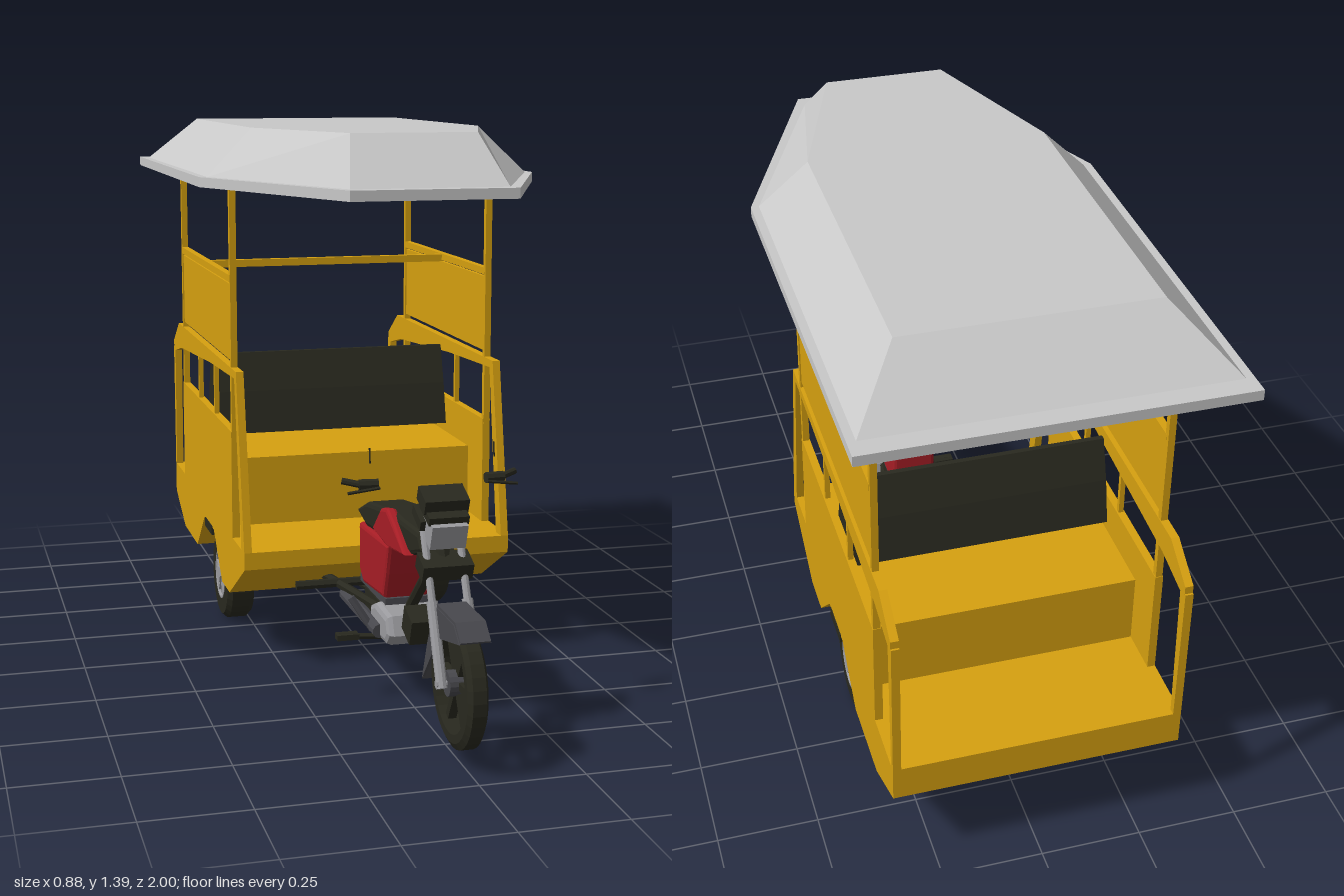
import * as THREE from 'three';

const mat = (name, color, side = THREE.FrontSide, flatShading = true) => {
  const m = new THREE.MeshStandardMaterial({ color, side, flatShading });
  m.name = name;
  return m;
};

export function createModel() {
  const root = new THREE.Group();
  root.name = 'motorTricycle';
  const yellow = mat('yellow paint', 0xd6a010);
  const grey = mat('roof grey', 0xc8c8c8);
  const black = mat('black', 0x29291f, THREE.FrontSide);
  const red = mat('red paint', 0xa61d25);
  const silver = mat('silver', 0x9a9a9e);
  const slate = mat('slate grey', 0x48484d, THREE.DoubleSide);

  const add = (name, geo, m, parent = root) => {
    const mesh = new THREE.Mesh(geo, m);
    mesh.name = name;
    parent.add(mesh);
    return mesh;
  };
  const box = (name, m, w, h, d, x, y, z, rx = 0, parent = root) => {
    const b = add(name, new THREE.BoxGeometry(w, h, d), m, parent);
    b.position.set(x, y, z);
    b.rotation.x = rx;
    return b;
  };
  // Extrude a [z, y] outline across x
  const slab = (name, m, pts, x0, x1, bevel = 0) => {
    const shape = new THREE.Shape(pts.map(p => new THREE.Vector2(p[0], p[1])));
    const geo = new THREE.ExtrudeGeometry(shape, {
      depth: x1 - x0 - 2 * bevel, bevelEnabled: bevel > 0, bevelSize: bevel,
      bevelOffset: -bevel, bevelThickness: bevel, bevelSegments: 2,
    });
    geo.rotateY(-Math.PI / 2).translate(x1 - bevel, 0, 0);
    return add(name, geo, m);
  };
  // Round or square bar between two points
  const bar = (name, m, a, b, r, sides = 8) => {
    const p = new THREE.Vector3(...a), q = new THREE.Vector3(...b);
    const geo = new THREE.CylinderGeometry(r, r, p.distanceTo(q), sides);
    if (sides === 4) geo.rotateY(Math.PI / 4);
    const mesh = add(name, geo, m);
    mesh.position.copy(p).add(q).multiplyScalar(0.5);
    mesh.quaternion.setFromUnitVectors(new THREE.Vector3(0, 1, 0), q.sub(p).normalize());
    return mesh;
  };
  // Skin stacked six-sided rings and cap the last one
  const loft = (rings, flip) => {
    const v = [];
    const tri = (a, b, c) => (flip ? [a, c, b] : [a, b, c]).forEach(p => v.push(...p));
    for (let k = 0; k + 1 < rings.length; k++)
      for (let i = 0; i < 6; i++) {
        const j = (i + 1) % 6, A = rings[k], B = rings[k + 1];
        tri(A[i], A[j], B[j]);
        tri(A[i], B[j], B[i]);
      }
    const top = rings[rings.length - 1];
    for (let i = 1; i < 5; i++) tri(top[0], top[i], top[i + 1]);
    const g = new THREE.BufferGeometry();
    g.setAttribute('position', new THREE.Float32BufferAttribute(v, 3));
    g.computeVertexNormals();
    return g;
  };
  const ring = (w, back, mid, nose, front, y) => [
    [-w, y, back], [-w, y, mid], [-nose, y, front], [nose, y, front], [w, y, mid], [w, y, back]];

  // Roof shell and its painted lining
  add('roofShell', loft([
    ring(0.44, -1, 0.07, 0.2, 0.65, 1.255), ring(0.44, -1, 0.07, 0.2, 0.65, 1.28),
    ring(0.42, -0.95, 0.07, 0.19, 0.61, 1.28), ring(0.3, -0.78, 0.04, 0.155, 0.475, 1.4)]), grey);
  add('roofLining', loft([
    ring(0.44, -1, 0.07, 0.2, 0.65, 1.255), ring(0.41, -0.94, 0.065, 0.185, 0.6, 1.262),
    ring(0.29, -0.77, 0.04, 0.15, 0.465, 1.39)], true), yellow);

  // Lower hull with wheel cut-out
  slab('hull', yellow, [[0.165, 0.33], [0.165, 0.285], [-0.05, 0.165], [-0.16, 0.165], [-0.28, 0.28],
    [-0.43, 0.28], [-0.56, 0.165], [-0.78, 0.165], [-0.945, 0.24], [-0.945, 0.33]], -0.355, 0.355);
  box('seatBox', yellow, 0.67, 0.185, 0.54, 0, 0.4225, -0.39);
  // Back-to-back cushions
  slab('backrest', black, [[-0.325, 0.54], [-0.35, 0.655], [-0.383, 0.76], [-0.397, 0.76],
    [-0.43, 0.655], [-0.455, 0.54]], -0.335, 0.335);

  for (const s of [-1, 1]) {
    const x = 0.345 * s;
    const side = (name, m, pts, t = 0.02) => slab(name, m, pts, x - t / 2, x + t / 2);
    // Side walls and rail
    side('sidePanel', yellow, [[0.005, 0.325], [0.005, 0.615], [-0.775, 0.615], [-0.775, 0.325]]);
    side('upperSidePanel', yellow, [[0, 0.8], [0, 1], [-0.765, 1], [-0.765, 0.8]], 0.01);
    side('handRail', yellow, [[0.08, 0.785], [-0.84, 0.785], [-0.94, 0.72], [-0.94, 0.685],
      [-0.8, 0.715], [-0.3, 0.75], [0.07, 0.765]]);
    side('frontRailLeg', yellow, [[0.165, 0.33], [0.08, 0.785], [0.055, 0.765], [0.125, 0.33]]);
    side('rearRailLeg', yellow, [[-0.945, 0.33], [-0.945, 0.7], [-0.915, 0.7], [-0.928, 0.33]]);
    for (const z of [0, -0.765])
      bar('roofPost', yellow, [x, 0.6, z], [x, 1.27, z], 0.012, 4);
    for (const z of [-0.26, -0.51])
      bar('windowPost', yellow, [x, 0.61, z], [x, 0.76, z], 0.009, 4);
    bar('sideBar', yellow, [x, 1.015, 0], [x, 1.015, -0.765], 0.013, 4);
    // Roof frame
    bar('roofSideBeam', yellow, [x, 1.262, 0.05], [x, 1.262, -0.9], 0.014, 4);
    bar('roofNoseBeam', yellow, [x, 1.262, 0.05], [0.16 * s, 1.262, 0.57], 0.014, 4);
  }
  for (const [z, w] of [[-0.9, 0.345], [-0.765, 0.345], [0, 0.345], [0.57, 0.16]])
    bar('roofCrossBeam', yellow, [-w, 1.262, z], [w, 1.262, z], 0.014, 4);
  bar('middleCrossBar', yellow, [-0.34, 1.012, -0.39], [0.34, 1.012, -0.39], 0.014, 4);

  // Rear wheels
  const tyre = (r, inner, half) => new THREE.LatheGeometry([
    [inner, -half], [r * 0.9, -half], [r, -half * 0.65], [r, half * 0.65], [r * 0.9, half],
    [inner, half], [inner, -half]].map(p => new THREE.Vector2(p[0], p[1])), 32).rotateZ(-Math.PI / 2);
  const disc = (r, w, n = 24) => new THREE.CylinderGeometry(r, r, w, n).rotateZ(-Math.PI / 2);
  for (const s of [-1, 1]) {
    const wheel = new THREE.Group();
    wheel.name = 'rearWheel';
    wheel.position.set(0.287 * s, 0.13, -0.355);
    root.add(wheel);
    add('tyre', tyre(0.125, 0.068, 0.038), black, wheel);
    add('innerDisc', disc(0.072, 0.01), black, wheel).position.x = -0.03 * s;
    add('rim', disc(0.07, 0.05), slate, wheel).position.x = 0.005 * s;
    const lip = add('rimLip', new THREE.TorusGeometry(0.066, 0.006, 6, 28).rotateY(Math.PI / 2), silver, wheel);
    lip.position.x = 0.034 * s;
    for (let i = 0; i < 5; i++) {
      const spoke = box('rimSpoke', silver, 0.012, 0.05, 0.02, 0.032 * s, 0, 0, 0, wheel);
      spoke.geometry.translate(0, 0.038, 0);
      spoke.rotation.x = i * Math.PI * 0.4;
    }
    add('hubCap', disc(0.025, 0.02, 6), silver, wheel).position.x = 0.034 * s;
    box('mudFlap', black, 0.075, 0.025, 0.11, 0.287 * s, 0.272, -0.355).position.x = 0.32 * s;
  }
  bar('rearAxle', black, [-0.27, 0.13, -0.355], [0.27, 0.13, -0.355], 0.014);
  slab('differential', black, [[-0.27, 0.28], [-0.44, 0.28], [-0.4, 0.13], [-0.36, 0.1], [-0.31, 0.13]], -0.05, 0.05);

  // Front wheel
  const front = new THREE.Group();
  front.name = 'frontWheel';
  front.position.set(0, 0.19, 0.85);
  root.add(front);
  add('tyre', tyre(0.15, 0.115, 0.024), black, front);
  add('hub', disc(0.03, 0.06, 16), slate, front);
  for (let i = 0; i < 6; i++) {
    const spoke = box('spoke', black, 0.02, 0.1, 0.018, 0, 0, 0, 0, front);
    spoke.geometry.translate(0, 0.07, 0);
    spoke.rotation.x = (i + 0.5) * Math.PI / 3;
  }
  // Mudguard wraps the tyre as a thin curved shell with side skirts
  slab('mudguardCrown', slate, [[0.96, 0.315], [0.92, 0.345], [0.79, 0.345], [0.73, 0.25], [0.685, 0.145],
    [0.68, 0.15], [0.725, 0.26], [0.785, 0.357], [0.925, 0.355], [0.965, 0.32]], -0.035, 0.035);
  for (const s of [-1, 1]) {
    const x = 0.034 * s;
    slab('mudguardSkirt', slate, [[0.96, 0.315], [0.92, 0.348], [0.785, 0.35], [0.725, 0.25],
      [0.682, 0.145], [0.76, 0.23], [0.82, 0.285]], x - 0.003, x + 0.003);
    bar('forkLower', silver, [0.042 * s, 0.18, 0.855], [0.042 * s, 0.36, 0.775], 0.013, 10);
    bar('forkUpper', silver, [0.042 * s, 0.35, 0.78], [0.042 * s, 0.54, 0.69], 0.009, 10);
    // Handgrips and mirror stalks
    bar('handGrip', black, [0.13 * s, 0.605, 0.635], [0.175 * s, 0.605, 0.63], 0.013);
    bar('gripEnd', black, [0.17 * s, 0.605, 0.63], [0.21 * s, 0.612, 0.61], 0.008);
    bar('brakeLever', black, [0.13 * s, 0.6, 0.65], [0.205 * s, 0.59, 0.645], 0.004, 5);
    bar('mirrorStalk', black, [0.15 * s, 0.655, 0.635], [0.15 * s, 0.69, 0.63], 0.002, 5);
    // Foot pegs
    bar('footPeg', black, [0.04 * s, 0.165, 0.42], [0.165 * s, 0.17, 0.4], 0.008, 6);
    box('pegRubber', black, 0.055, 0.014, 0.03, 0.145 * s, 0.168, 0.4);
    bar('towArm', black, [0.05 * s, 0.22, 0.35], [0.12 * s, 0.22, 0], 0.012, 6);
    slab('tankSide', red, [[0.6, 0.42], [0.5, 0.47], [0.44, 0.495], [0.39, 0.485], [0.31, 0.415],
      [0.45, 0.4]], s > 0 ? 0.03 : -0.058, s > 0 ? 0.058 : -0.03, 0.008);
  }
  bar('axlePin', silver, [-0.055, 0.19, 0.85], [0.055, 0.19, 0.85], 0.01);

  // Headlight, instruments and yokes
  box('forkYoke', black, 0.12, 0.04, 0.06, 0, 0.43, 0.735, 0.4);
  box('topYoke', black, 0.11, 0.025, 0.07, 0, 0.535, 0.69, 0.4);
  box('headlight', silver, 0.085, 0.06, 0.07, 0, 0.515, 0.735, 0.35);
  box('headlightHood', black, 0.095, 0.02, 0.08, 0, 0.555, 0.73, 0.35);
  box('instruments', black, 0.105, 0.035, 0.065, 0, 0.582, 0.72, 0.4);
  bar('steeringStem', black, [0, 0.4, 0.74], [0, 0.56, 0.67], 0.018);

  // Motorcycle body
  slab('tank', black, [[0.69, 0.45], [0.66, 0.49], [0.5, 0.485], [0.42, 0.49], [0.36, 0.42], [0.6, 0.42]], -0.042, 0.042, 0.012);
  slab('saddle', black, [[0.46, 0.475], [0.38, 0.485], [0.24, 0.465], [0.15, 0.425], [0.24, 0.4], [0.36, 0.41]], -0.055, 0.055, 0.012);
  slab('bodyCover', red, [[0.47, 0.41], [0.19, 0.4], [0.19, 0.28], [0.23, 0.25], [0.42, 0.265], [0.445, 0.33]], -0.06, 0.06, 0.01);
  bar('downTube', black, [0, 0.44, 0.68], [0, 0.25, 0.46], 0.014);

  // Engine and running gear
  slab('engine', silver, [[0.53, 0.2], [0.51, 0.245], [0.4, 0.25], [0.35, 0.23], [0.35, 0.175], [0.4, 0.165], [0.5, 0.17]], -0.075, 0.075, 0.015);
  box('cylinderHead', black, 0.08, 0.065, 0.07, 0, 0.238, 0.565, 0.35);
  box('gearCase', black, 0.1, 0.06, 0.15, 0, 0.205, 0.29);
  box('carrier', slate, 0.11, 0.02, 0.24, 0, 0.255, 0.31);
  bar('crossPeg', black, [-0.21, 0.222, 0.12], [0.21, 0.222, 0.12], 0.012, 6);
  bar('kickLever', slate, [-0.08, 0.18, 0.4], [-0.13, 0.26, 0.38], 0.01, 6);
  bar('exhaust', slate, [-0.075, 0.19, 0.45], [-0.085, 0.2, 0.15], 0.018, 10);
  bar('driveShaft', black, [0, 0.21, 0.25], [0, 0.14, -0.33], 0.013);
  return root;
}
